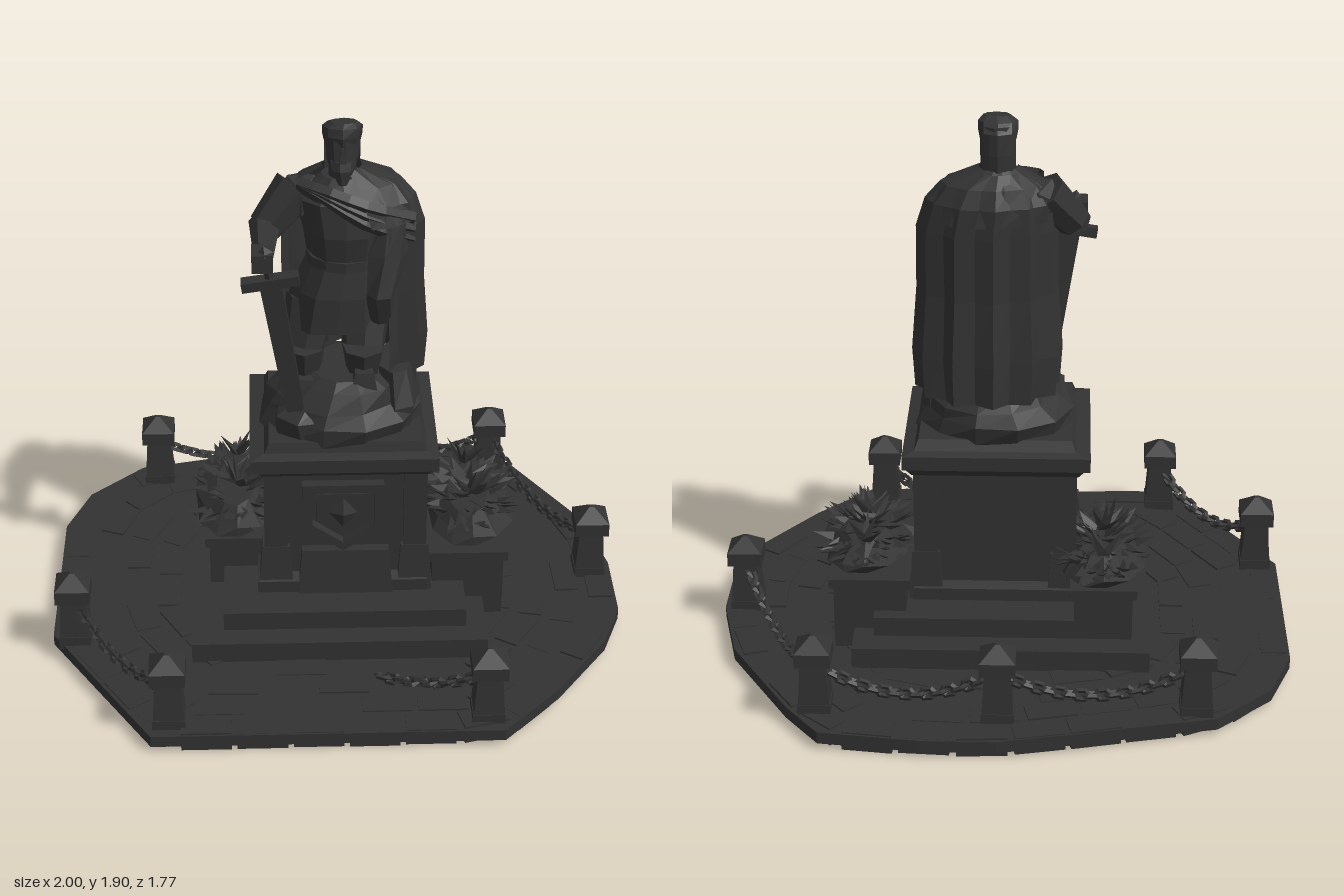
import * as THREE from 'three';
import { mergeGeometries } from 'three/addons/utils/BufferGeometryUtils.js';

const stone = new THREE.MeshStandardMaterial({ color: 0x323232, flatShading: true, side: THREE.DoubleSide });
stone.name = 'dark stone';

export function createModel() {
  const model = new THREE.Group();
  let seed = 7;
  const rnd = (a = 0, b = 1) => {
    seed = (seed * 16807) % 2147483647;
    return a + (b - a) * (seed / 2147483647);
  };
  // one named mesh from one or more geometries, reduced to matching attributes
  const add = (name, ...geos) => {
    const parts = geos.map(q => (q.index ? q.toNonIndexed() : q).deleteAttribute('uv'));
    const m = new THREE.Mesh(mergeGeometries(parts), stone);
    m.name = name;
    model.add(m);
    return m;
  };
  // box given by its limits
  const box = (x0, x1, y0, y1, z0, z1) =>
    new THREE.BoxGeometry(x1 - x0, y1 - y0, z1 - z0).translate((x0 + x1) / 2, (y0 + y1) / 2, (z0 + z1) / 2);
  // four-sided block whose top is inset
  const taper = (x0, x1, y0, y1, z0, z1, inset) => {
    const g = box(x0, x1, y0, y1, z0, z1), p = g.attributes.position;
    for (let i = 0; i < p.count; i++) if (p.getY(i) > (y0 + y1) / 2) {
      p.setX(i, p.getX(i) + (p.getX(i) < (x0 + x1) / 2 ? inset : -inset));
      p.setZ(i, p.getZ(i) + (p.getZ(i) < (z0 + z1) / 2 ? inset : -inset));
    }
    g.computeVertexNormals();
    return g;
  };
  // loft through rings [y, cx, cz, rx, rz], bottom to top; partial arcs stay open
  const loft = (rings, n, { a0 = 0, a1 = 360, pleat = 0, jitter = 0, hollow = false } = {}) => {
    const pos = [], idx = [], full = a1 - a0 === 360;
    rings.forEach(([y, cx, cz, rx, rz], j) => {
      for (let i = 0; i <= n; i++) {
        const step = full ? i % n : i, a = THREE.MathUtils.degToRad(a0 + ((a1 - a0) * step) / n);
        const fade = 1 - j / (rings.length - 1);
        const k = 1 + (step % 2 ? -pleat : pleat * 0.3) * (0.25 + fade) + jitter * Math.sin(step * 5.3 + j * 2.7);
        pos.push(cx + rx * k * Math.cos(a), y, cz + rz * k * Math.sin(a));
      }
    });
    const w = n + 1;
    for (let j = 0; j < rings.length - 1; j++) for (let i = 0; i < n; i++) {
      const p = j * w + i;
      idx.push(p, p + w, p + 1, p + 1, p + w, p + w + 1);
    }
    if (full) (hollow ? [rings.length - 1] : [0, rings.length - 1]).forEach(j => {
      const c = pos.length / 3, [y, cx, cz] = rings[j];
      pos.push(cx, y, cz);
      for (let i = 0; i < n; i++) idx.push(c, j * w + i + (j ? 1 : 0), j * w + i + (j ? 0 : 1));
    });
    const g = new THREE.BufferGeometry();
    g.setAttribute('position', new THREE.Float32BufferAttribute(pos, 3));
    g.setIndex(idx);
    const out = g.toNonIndexed();
    out.computeVertexNormals();
    return out;
  };
  const V = p => new THREE.Vector3(...p);
  // tapered limb between two points
  const limb = (p, q, r0, r1) => {
    const a = V(p), b = V(q), d = b.clone().sub(a);
    const g = new THREE.CylinderGeometry(r1, r0, d.length(), 7);
    g.applyQuaternion(new THREE.Quaternion().setFromUnitVectors(new THREE.Vector3(0, 1, 0), d.normalize()));
    return g.translate(...a.add(b).multiplyScalar(0.5).toArray());
  };

  // ground slab, open below the pedestal
  const outline = [[-1, -0.34], [-0.92, -0.55], [-0.73, -0.73], [-0.5, -0.78], [-0.24, -0.84], [0, -0.89], [0.25, -0.89],
    [0.59, -0.85], [0.71, -0.7], [0.93, -0.34], [1, -0.05], [1, 0.23], [0.93, 0.41], [0.74, 0.67], [0.54, 0.88], [-0.64, 0.88], [-1, 0.32]];
  const slab = new THREE.Shape(outline.map(([x, z]) => new THREE.Vector2(x, -z)));
  slab.holes.push(new THREE.Path([[-0.5, 0.44], [0.5, 0.44], [0.5, -0.48], [-0.5, -0.48]].map(p => new THREE.Vector2(...p))));
  add('groundSlab', new THREE.ExtrudeGeometry(slab, { depth: 0.042, bevelEnabled: false }).rotateX(-Math.PI / 2).translate(0, 0.022, 0));

  // cobbles showing above and below the slab
  const path = new THREE.Shape(outline.map(p => new THREE.Vector2(...p)));
  path.closePath();
  const cobbles = [];
  [0.945, 0.83, 0.715, 0.6].forEach((s, k) => {
    const n = 32 - k * 4, pts = path.getSpacedPoints(n);
    for (let i = 0; i < n; i++) {
      const a = pts[i].clone().multiplyScalar(s), b = pts[i + 1].clone().multiplyScalar(s);
      const d = b.clone().sub(a), top = rnd(0.06, 0.072), bottom = rnd(0, 0.008);
      cobbles.push(new THREE.BoxGeometry(d.length() * 0.9, top - bottom, 0.085).rotateY(-Math.atan2(d.y, d.x))
        .translate((a.x + b.x) / 2, (top + bottom) / 2, (a.y + b.y) / 2));
    }
  });
  add('cobbles', ...cobbles);

  // hollow steps and pedestal, one stepped shell through rectangles [y, x0, x1, z0, z1]
  const profile = [[0.05, -0.51, 0.51, -0.45, 0.49], [0.14, -0.51, 0.51, -0.45, 0.49], [0.14, -0.4, 0.44, -0.36, 0.41], [0.21, -0.4, 0.44, -0.36, 0.41],
    [0.21, -0.28, 0.31, -0.23, 0.29], [0.255, -0.28, 0.31, -0.23, 0.29], [0.27, -0.235, 0.285, -0.195, 0.25], [0.69, -0.235, 0.285, -0.195, 0.25],
    [0.69, -0.26, 0.31, -0.215, 0.28], [0.72, -0.28, 0.33, -0.235, 0.3], [0.725, -0.3, 0.34, -0.25, 0.32], [0.775, -0.3, 0.34, -0.25, 0.32],
    [0.785, -0.25, 0.3, -0.22, 0.285], [0.82, -0.235, 0.285, -0.2, 0.275]];
  add('stepsAndPedestal', loft(profile.map(([y, a, b, c, d]) => [y, (a + b) / 2, (c + d) / 2, (b - a) * Math.SQRT1_2, (d - c) * Math.SQRT1_2]),
    4, { a0: 45, a1: 405, hollow: true }));
  const corners = [];
  for (const x of [-0.215, 0.265]) for (const z of [-0.175, 0.235]) {
    corners.push(taper(x - 0.06, x + 0.06, 0.21, 0.39, z - 0.05, z + 0.05, 0.012));
    corners.push(box(x - 0.04, x + 0.04, 0.37, 0.7, z - 0.035, z + 0.035));
  }
  add('cornerPilasters', ...corners);
  add('frontPanel', taper(-0.14, 0.19, 0.21, 0.38, 0.2, 0.3, 0.015));

  // shield with raised border and a plain faceted boss
  const shieldShape = k => new THREE.Shape([[-0.14, 0.13], [-0.14, -0.04], [0, -0.14], [0.14, -0.04], [0.14, 0.13]]
    .map(([x, y]) => new THREE.Vector2(x * k, y * k)));
  const rim = shieldShape(1);
  rim.holes.push(shieldShape(0.76));
  add('shieldBorder', new THREE.ExtrudeGeometry(rim, { depth: 0.035, bevelEnabled: false })).position.set(0.017, 0.52, 0.25);
  add('shieldFace', new THREE.ExtrudeGeometry(shieldShape(0.66), { depth: 0.02, bevelEnabled: false })).position.set(0.017, 0.52, 0.25);
  const boss = add('shieldBoss', new THREE.OctahedronGeometry(0.075));
  boss.position.set(0.017, 0.53, 0.265);
  boss.scale.set(0.8, 1, 0.35);

  // planters, each with a clump of broad leaves
  for (const [side, x0, x1, z0, z1] of [['left', 0.33, 0.58, -0.31, 0.24], ['right', -0.45, -0.25, -0.36, 0.13]]) {
    add(side + 'Planter', box(x0, x1, 0.06, 0.31, z0, z1), box(x0 - 0.015, x1 + 0.015, 0.3, 0.335, z0 - 0.01, z1 + 0.01));
    const cx = (x0 + x1) / 2 + (side === 'left' ? 0.02 : 0), cz = (z0 + z1) / 2;
    const leaves = [loft([[0.33, cx, cz, 0.14, 0.25], [0.37, cx, cz, 0.15, 0.25], [0.42, cx, cz, 0.08, 0.16]], 12, { jitter: 0.14 })];
    for (let i = 0; i < 90; i++) {
      const a = rnd(0, 6.283), r = Math.sqrt(rnd()), lean = rnd(0.5, 1.1) + r * 0.6;
      leaves.push(new THREE.ConeGeometry(rnd(0.03, 0.045), rnd(0.08, 0.13), 3).scale(1, 1, 0.3).rotateY(rnd(0.8, 2.2)).translate(0, 0.03, 0)
        .rotateZ(-lean).rotateY(-a)
        .translate(cx + r * Math.cos(a) * 0.13, 0.415 - r * r * 0.05, cz + r * Math.sin(a) * 0.23));
    }
    // tall tufts
    for (let i = 0; i < 10; i++) leaves.push(new THREE.ConeGeometry(0.022, 0.12, 3).scale(1, 1, 0.4).translate(0, 0.05, 0)
      .rotateZ(rnd(-0.7, 0.7)).rotateX(rnd(-0.7, 0.7)).translate(cx, 0.42, cz + (i % 2 ? 0.03 : -0.16)));
    add(side + 'Leaves', ...leaves);
  }

  // bollards
  const posts = [[-0.66, -0.67], [0, -0.73], [0.61, -0.69], [0.92, -0.02], [-0.92, 0.33], [-0.58, 0.79], [0.485, 0.79]];
  for (const [x, z] of posts) add('bollard',
    box(x - 0.055, x + 0.055, 0.05, 0.1, z - 0.055, z + 0.055), taper(x - 0.052, x + 0.052, 0.1, 0.25, z - 0.052, z + 0.052, 0.01),
    box(x - 0.06, x + 0.06, 0.245, 0.295, z - 0.06, z + 0.06), taper(x - 0.06, x + 0.06, 0.295, 0.34, z - 0.06, z + 0.06, 0.052));

  // sagging chains; the last one lies broken on the ground
  const P = i => [posts[i][0], 0.23, posts[i][1]];
  const chains = [[P(0), P(1)], [P(1), P(2)], [P(2), P(3)], [P(4), P(5)], [P(6), [0.11, 0.08, 0.59]]];
  for (const [p, q] of chains) {
    const a = V(p), b = V(q), mid = a.clone().lerp(b, 0.5).setY(q[1] < 0.1 ? 0.08 : 0.03);
    const curve = new THREE.QuadraticBezierCurve3(a, mid, b);
    const n = Math.round(curve.getLength() / 0.036), links = [];
    for (let i = 1; i < n; i++) {
      const g = new THREE.TorusGeometry(0.017, 0.009, 4, 6).scale(1.4, 1, 1).rotateX(i % 2 ? 0.4 : 1.8);
      g.applyQuaternion(new THREE.Quaternion().setFromUnitVectors(new THREE.Vector3(1, 0, 0), curve.getTangentAt(i / n)));
      links.push(g.translate(...curve.getPointAt(i / n).toArray()));
    }
    add('chain', ...links);
  }

  // rocky mound under the figure, higher at the front
  add('mound', loft([[0.8, 0.02, 0.035, 0.28, 0.26], [0.87, 0.02, 0.035, 0.27, 0.26], [0.91, 0.025, 0.03, 0.23, 0.23],
    [0.97, 0.03, 0.04, 0.18, 0.19], [1.0, 0.03, 0.05, 0.12, 0.13]], 12, { a0: 15, a1: 375, jitter: 0.06 }));
  add('moundRocks', loft([[0.81, -0.1, 0.16, 0.12, 0.11], [0.88, -0.11, 0.16, 0.11, 0.1], [0.92, -0.09, 0.15, 0.06, 0.06]], 7, { jitter: 0.1 }),
    loft([[0.81, 0.2, 0.06, 0.08, 0.16], [0.9, 0.21, 0.06, 0.07, 0.14], [1.02, 0.2, 0.06, 0.06, 0.11]], 7, { jitter: 0.1 }));

  // legs and boots
  for (const [name, hip, knee, ankle] of [['rightLeg', [-0.08, 1.25, 0.03], [-0.11, 1.09, 0.07], [-0.11, 0.93, 0.05]],
    ['leftLeg', [0.1, 1.25, 0.03], [0.09, 1.1, 0.1], [0.09, 0.97, 0.08]]]) {
    const [x, y, z] = ankle;
    add(name, limb(knee, hip, 0.075, 0.09), limb(ankle, knee, 0.055, 0.075), taper(x - 0.05, x + 0.05, y - 0.03, y + 0.06, z - 0.06, z + 0.12, 0.02));
  }

  // tunic
  add('tunic', loft([[1.17, 0, 0.03, 0.18, 0.14], [1.3, 0.01, 0.035, 0.16, 0.13], [1.42, 0.03, 0.03, 0.125, 0.11], [1.52, 0.03, 0.03, 0.14, 0.125],
    [1.63, 0.03, 0.015, 0.17, 0.12], [1.7, 0.02, 0.01, 0.07, 0.06]], 12, { pleat: 0.06 }));
  add('belt', loft([[1.395, 0.028, 0.03, 0.132, 0.117], [1.43, 0.03, 0.03, 0.13, 0.116]], 12));

  // cloak in broad folds, with the gathered cloth and drape over the left shoulder
  add('cloak', loft([[0.94, 0.055, -0.02, 0.24, 0.19], [1.08, 0.055, -0.015, 0.25, 0.18], [1.3, 0.055, 0, 0.235, 0.165],
    [1.52, 0.055, 0.005, 0.235, 0.155], [1.62, 0.045, 0.005, 0.215, 0.145], [1.68, 0.04, 0, 0.17, 0.11], [1.72, 0.025, 0, 0.08, 0.07]],
  16, { a0: -190, a1: 62, pleat: 0.11 }));
  add('shoulderMantle', loft([[1.56, 0.05, 0.01, 0.235, 0.15], [1.62, 0.04, 0.01, 0.215, 0.145], [1.68, 0.03, 0.005, 0.17, 0.11],
    [1.73, 0.02, 0.01, 0.065, 0.06]], 12, { a0: -190, a1: 75, jitter: 0.03 }));
  for (let i = 0; i < 3; i++) add('drapeFold', new THREE.TubeGeometry(new THREE.CatmullRomCurve3([[-0.12, 1.68, 0.05],
    [-0.02, 1.67 - i * 0.015, 0.11], [0.1, 1.63 - i * 0.03, 0.13], [0.25, 1.56 - i * 0.035, 0.07]].map(V)), 7, 0.025, 5));
  add('hangingCloth', loft([[1.2, 0.15, 0.1, 0.05, 0.05], [1.32, 0.14, 0.13, 0.05, 0.06], [1.45, 0.17, 0.1, 0.07, 0.06], [1.58, 0.18, 0.06, 0.06, 0.06]], 7, { jitter: 0.12 }));

  // sword arm
  add('rightArm', new THREE.IcosahedronGeometry(0.085).translate(-0.115, 1.615, 0), limb([-0.13, 1.64, 0], [-0.235, 1.52, 0.05], 0.08, 0.06),
    limb([-0.235, 1.53, 0.04], [-0.24, 1.5, 0.21], 0.055, 0.035), box(-0.28, -0.21, 1.47, 1.535, 0.19, 0.275));

  // sword, leaning from the hand to the mound
  const sword = new THREE.Group();
  sword.name = 'sword';
  sword.add(add('blade', taper(-0.03, 0.03, -0.52, 0, -0.014, 0.014, -0.006)),
    add('crossguard', box(-0.095, 0.095, -0.015, 0.02, -0.022, 0.022)),
    add('grip', new THREE.CylinderGeometry(0.016, 0.016, 0.1, 6).translate(0, 0.06, 0)),
    add('pommel', new THREE.OctahedronGeometry(0.03).translate(0, 0.11, 0)));
  sword.position.set(-0.22, 1.42, 0.24);
  sword.rotation.set(0.08, 0, 0.15);
  model.add(sword);

  // head, beard, hair and crown
  add('head', loft([[1.67, 0.02, 0.01, 0.05, 0.045], [1.73, 0.02, 0.02, 0.045, 0.05], [1.77, 0.02, 0.025, 0.055, 0.06], [1.83, 0.02, 0.02, 0.06, 0.06],
    [1.87, 0.02, 0.02, 0.055, 0.055]], 9));
  add('beard', loft([[1.69, 0.02, 0.08, 0.015, 0.015], [1.74, 0.02, 0.065, 0.04, 0.035], [1.77, 0.02, 0.055, 0.045, 0.035]], 7));
  add('nose', taper(0.008, 0.032, 1.77, 1.82, 0.06, 0.098, 0.008));
  add('hair', loft([[1.7, 0.02, -0.005, 0.06, 0.05], [1.78, 0.02, 0, 0.062, 0.056], [1.85, 0.02, 0.005, 0.06, 0.055]], 8, { a0: -200, a1: 20, pleat: 0.06 }));
  add('crown', loft([[1.82, 0.02, 0.015, 0.06, 0.064], [1.85, 0.02, 0.018, 0.066, 0.066], [1.88, 0.02, 0.03, 0.066, 0.045], [1.897, 0.025, 0.04, 0.045, 0.025]], 8));
  return model;
}
